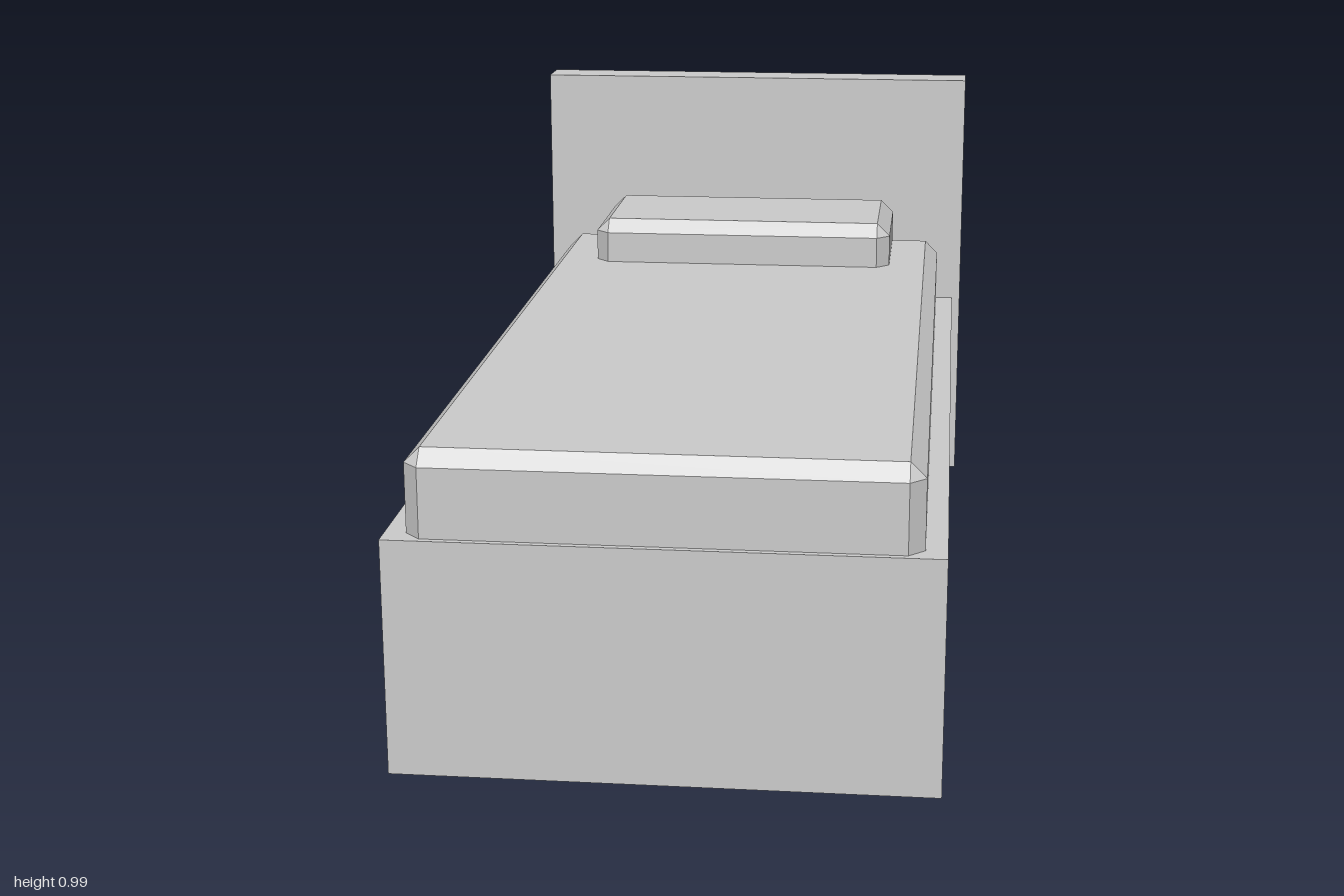
import * as THREE from 'three';
import { ConvexGeometry } from 'three/addons/geometries/ConvexGeometry.js';

const grey = new THREE.MeshStandardMaterial({ color: 0xcccccc });
grey.name = 'light grey';

// Box with every edge cut by a flat chamfer of width c
function chamferBox(w, h, d, c) {
  const points = [];
  const [x, y, z] = [w / 2, h / 2, d / 2];
  for (const sx of [-1, 1]) for (const sy of [-1, 1]) for (const sz of [-1, 1]) {
    points.push(
      new THREE.Vector3(sx * x, sy * (y - c), sz * (z - c)),
      new THREE.Vector3(sx * (x - c), sy * y, sz * (z - c)),
      new THREE.Vector3(sx * (x - c), sy * (y - c), sz * z)
    );
  }
  return new ConvexGeometry(points);
}

// Part spanning a height range and a depth range, with an optional chamfer
function part(name, width, [y0, y1], [z0, z1], chamfer = 0) {
  const size = [width, y1 - y0, z1 - z0];
  const geometry = chamfer ? chamferBox(...size, chamfer) : new THREE.BoxGeometry(...size);
  const mesh = new THREE.Mesh(geometry, grey);
  mesh.name = name;
  mesh.position.set(0, (y0 + y1) / 2, (z0 + z1) / 2);
  return mesh;
}

export function createModel() {
  const bed = new THREE.Group();
  bed.name = 'bed';
  bed.add(
    part('bedBase', 0.986, [0, 0.443], [-0.9, 1]),
    part('headboard', 1.024, [0, 0.986], [-1, -0.903]),
    part('mattress', 0.908, [0.4, 0.602], [-0.857, 0.988], 0.029),
    part('pillow', 0.688, [0.546, 0.7], [-0.864, -0.522], 0.029)
  );
  return bed;
}
